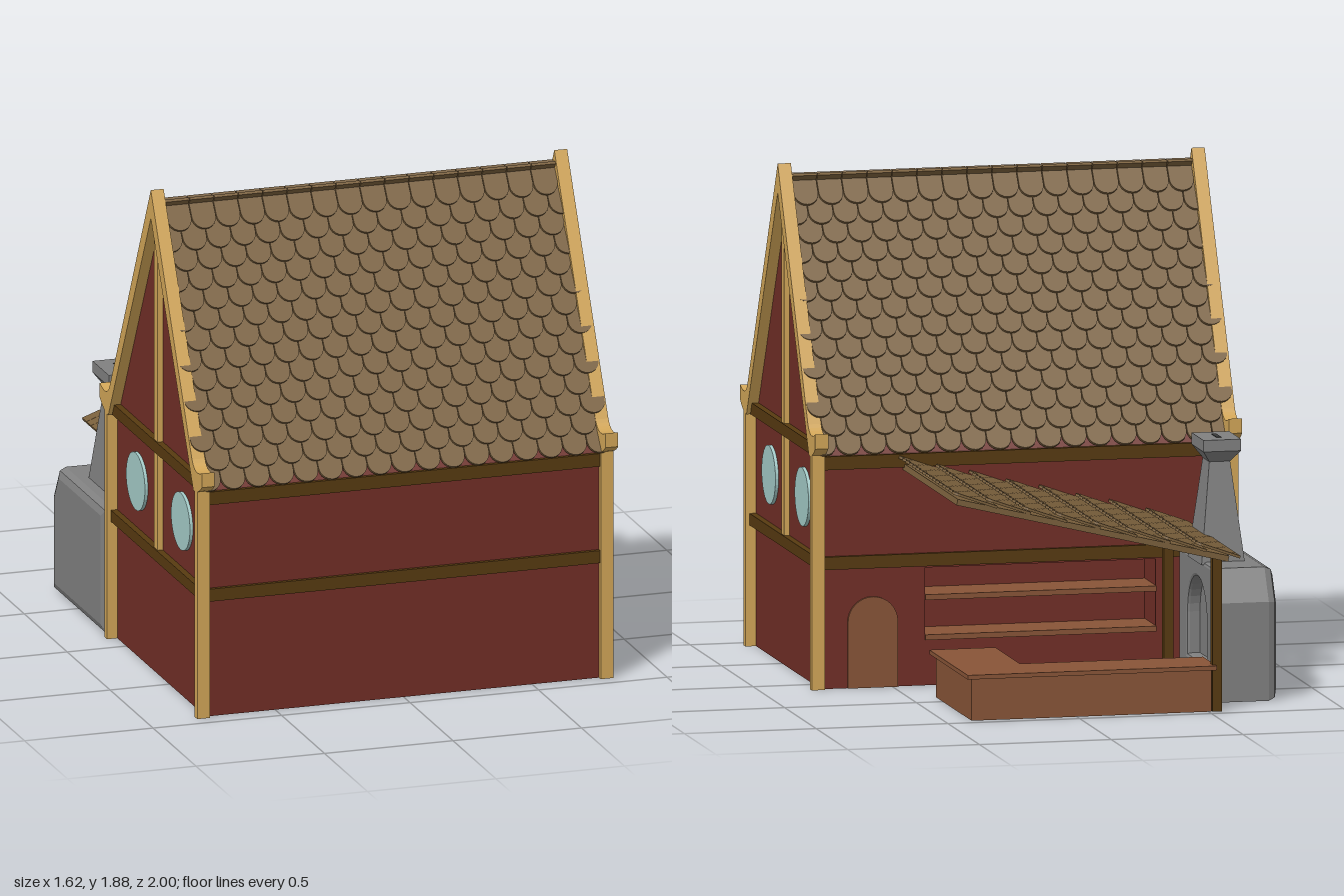
import * as THREE from 'three';
import { mergeGeometries } from 'three/addons/utils/BufferGeometryUtils.js';

const mat = (color) => new THREE.MeshStandardMaterial({ color, flatShading: true });
const RED = mat(0x712e26), TAN = mat(0xd2a658), DARK = mat(0x573a10), SHINGLE = mat(0x7a603c);
const WOOD = mat(0x885437), GLASS = mat(0xa4cbc8), STONE = mat(0x808080), SOOT = mat(0x3a3a3a);
const RIDGE_Z = 0.405;

export function createModel() {
  const root = new THREE.Group();
  const add = (name, geo, material) => {
    const m = new THREE.Mesh(geo, material);
    m.name = name;
    root.add(m);
    return m;
  };
  // box from its min and max corners
  const box = (name, material, x0, x1, y0, y1, z0, z1) =>
    add(name, new THREE.BoxGeometry(x1 - x0, y1 - y0, z1 - z0)
      .translate((x0 + x1) / 2, (y0 + y1) / 2, (z0 + z1) / 2), material);
  const poly = (pts) => new THREE.Shape(pts.map(([a, b]) => new THREE.Vector2(a, b)));
  // extrude a (z, y) outline from x0 to x1, with an optional bevel inside the outline
  const alongX = (shape, x0, x1, bevel = 0) =>
    new THREE.ExtrudeGeometry(shape, {
      depth: x1 - x0 - 2 * bevel, bevelEnabled: bevel > 0, bevelSize: bevel,
      bevelThickness: bevel, bevelOffset: -bevel, bevelSegments: 2, curveSegments: 8,
    }).translate(0, 0, bevel).rotateY(-Math.PI / 2).translate(x1, 0, 0);
  const arch = (target, c, r, y0, top) => {
    target.moveTo(c - r, y0);
    target.lineTo(c + r, y0);
    target.lineTo(c + r, top - r);
    target.absarc(c, top - r, r, 0, Math.PI, false);
    target.lineTo(c - r, y0);
    return target;
  };

  // rows of round-ended shingles; down = direction of the tips, start = mid-point of the top edge
  const shingles = (name, { start, down, normal, rows, count, pitch, first, step, length, lift, thick }) => {
    const r = pitch * 0.485, s = new THREE.Shape();
    s.moveTo(-r, 0);
    s.lineTo(r, 0);
    s.lineTo(r, length - r);
    s.absarc(0, length - r, r, 0, Math.PI, false);
    s.lineTo(-r, 0);
    const one = new THREE.ExtrudeGeometry(s, { depth: thick, bevelEnabled: false, curveSegments: 5 })
      .rotateX(Math.asin(lift / length));
    const basis = new THREE.Matrix4().makeBasis(down.clone().cross(normal), down, normal);
    const parts = [];
    for (let i = 0; i < rows; i++) {
      const n = count + (i % 2);
      for (let j = 0; j < n; j++) {
        const g = one.clone().translate((j - (n - 1) / 2) * pitch, first + i * step - length, 0);
        parts.push(g.applyMatrix4(basis).translate(start.x, start.y, start.z));
      }
    }
    add(name, mergeGeometries(parts), SHINGLE);
  };

  // house body, with a serving niche along the back
  const body = poly([[-0.115, 0], [0.925, 0], [0.925, 0.87], [RIDGE_Z, 1.8], [-0.115, 0.87],
    [-0.115, 0.44], [0.06, 0.44], [0.06, 0.17], [-0.115, 0.17]]);
  add('houseBody', alongX(body, -0.77, 0.77), RED);
  box('nicheSideLeft', RED, 0.375, 0.77, 0.17, 0.44, -0.115, 0.06);
  box('nicheSideRight', RED, -0.77, -0.5, 0.17, 0.44, -0.115, 0.06);
  for (const y of [0.17, 0.32]) box('nicheShelf', WOOD, -0.5, 0.375, y, y + 0.02, -0.125, 0.06);

  // arched back door
  add('backDoor', new THREE.ExtrudeGeometry(arch(new THREE.Shape(), 0.575, 0.095, 0, 0.34),
    { depth: 0.02, bevelEnabled: false, curveSegments: 8 }).translate(0, 0, -0.125), WOOD);

  // long beams on front and back
  for (const [y0, y1] of [[0.82, 0.87], [0.447, 0.495]]) {
    box('frontBeam', DARK, -0.765, 0.765, y0, y1, 0.91, 0.94);
    box('backBeam', DARK, -0.765, 0.765, y0, y1, -0.13, -0.1);
  }

  // gable ends: corner posts, barge boards, beams, king post and round windows
  for (const side of [-1, 1]) {
    const span = (a, b) => (side > 0 ? [a, b] : [-b, -a]);
    for (const z of [0.93, -0.12])
      box('cornerPost', TAN, ...span(0.76, 0.81), 0, 0.89, z - 0.016, z + 0.016);
    for (const d of [-1, 1]) {
      const Z = (v) => RIDGE_Z + d * v, s = new THREE.Shape();
      s.moveTo(Z(0), 1.885);
      s.lineTo(Z(0.48), 0.985);
      s.quadraticCurveTo(Z(0.515), 0.93, Z(0.595), 0.965);
      s.lineTo(Z(0.595), 0.91);
      s.quadraticCurveTo(Z(0.55), 0.87, Z(0.495), 0.87);
      s.lineTo(Z(0), 1.775);
      add('bargeBoard', alongX(s, ...span(0.76, 0.81)), TAN);
      add('roundWindow', new THREE.CylinderGeometry(0.11, 0.11, 0.02, 32)
        .rotateZ(Math.PI / 2).translate(side * 0.772, 0.68, Z(0.262)), GLASS);
    }
    box('gableBeam', DARK, ...span(0.75, 0.795), 0.87, 0.915, -0.105, 0.915);
    box('gableLowerBeam', DARK, ...span(0.75, 0.795), 0.453, 0.497, -0.105, 0.915);
    box('kingPost', TAN, ...span(0.75, 0.79), 0.495, 1.79, RIDGE_Z - 0.02, RIDGE_Z + 0.02);
  }

  // main roof, both slopes
  for (const d of [-1, 1]) {
    shingles('mainRoofShingles', {
      start: new THREE.Vector3(0, 1.8, RIDGE_Z),
      down: new THREE.Vector3(0, -0.93, d * 0.52).normalize(),
      normal: new THREE.Vector3(0, 0.52, d * 0.93).normalize(),
      rows: 14, count: 16, pitch: 0.095, first: 0.09, step: 0.0758, length: 0.135, lift: 0.02, thick: 0.012,
    });
  }

  // lean-to roof rising toward the left, on two posts
  const deck = new THREE.Shape([[-0.57, 0.56], [0.46, 0.81], [0.455, 0.832], [-0.575, 0.582]]
    .map(([x, y]) => new THREE.Vector2(x, y)));
  add('leanToDeck', new THREE.ExtrudeGeometry(deck, { depth: 0.86, bevelEnabled: false })
    .translate(0, 0, -0.97), SHINGLE);
  shingles('leanToShingles', {
    start: new THREE.Vector3(-0.57, 0.582, -0.555),
    down: new THREE.Vector3(1.03, 0.25, 0).normalize(),
    normal: new THREE.Vector3(-0.25, 1.03, 0).normalize(),
    rows: 8, count: 16, pitch: 0.0525, first: 0.13, step: 0.1365, length: 0.175, lift: 0.018, thick: 0.01,
  });
  for (const z of [-0.168, -0.94]) box('leanToPost', DARK, -0.55, -0.515, 0, 0.575, z - 0.017, z + 0.017);

  // L-shaped counter
  const ell = (x0, x1, xi, z0, z1, zi, y0, y1) =>
    new THREE.ExtrudeGeometry(poly([[x0, -z0], [x0, -zi], [xi, -zi], [xi, -z1], [x1, -z1], [x1, -z0]]),
      { depth: y1 - y0, bevelEnabled: false }).rotateX(-Math.PI / 2).translate(0, y0, 0);
  add('counterBase', ell(-0.51, 0.4, 0.19, -0.955, -0.39, -0.78, 0, 0.16), WOOD);
  add('counterTop', ell(-0.525, 0.42, 0.17, -0.98, -0.37, -0.76, 0.158, 0.174), WOOD);

  // stone oven: bevelled body plus a front slab with an arched mouth
  const outline = [[-0.145, 0], [-0.145, 0.49], [-0.69, 0.49], [-0.76, 0.37], [-0.76, 0]];
  add('ovenBody', alongX(poly(outline), -0.81, -0.63, 0.035), STONE);
  const front = poly(outline);
  front.holes.push(arch(new THREE.Path(), -0.43, 0.155, 0.11, 0.42));
  add('ovenFront', alongX(front, -0.72, -0.58, 0.012), STONE);

  // chimney: tapered square stack, flared neck, cap with a slot
  const taper = (name, half0, half1, y0, y1) =>
    add(name, new THREE.CylinderGeometry(half1 * Math.SQRT2, half0 * Math.SQRT2, y1 - y0, 4)
      .rotateY(Math.PI / 4).scale(0.75, 1, 1).translate(-0.655, (y0 + y1) / 2, -0.43), STONE);
  taper('chimneyStack', 0.11, 0.052, 0.48, 0.86);
  taper('chimneyNeck', 0.052, 0.095, 0.855, 0.9);
  taper('chimneyCap', 0.095, 0.095, 0.9, 0.943);
  box('chimneySlot', SOOT, -0.664, -0.646, 0.92, 0.945, -0.47, -0.39);

  return root;
}
